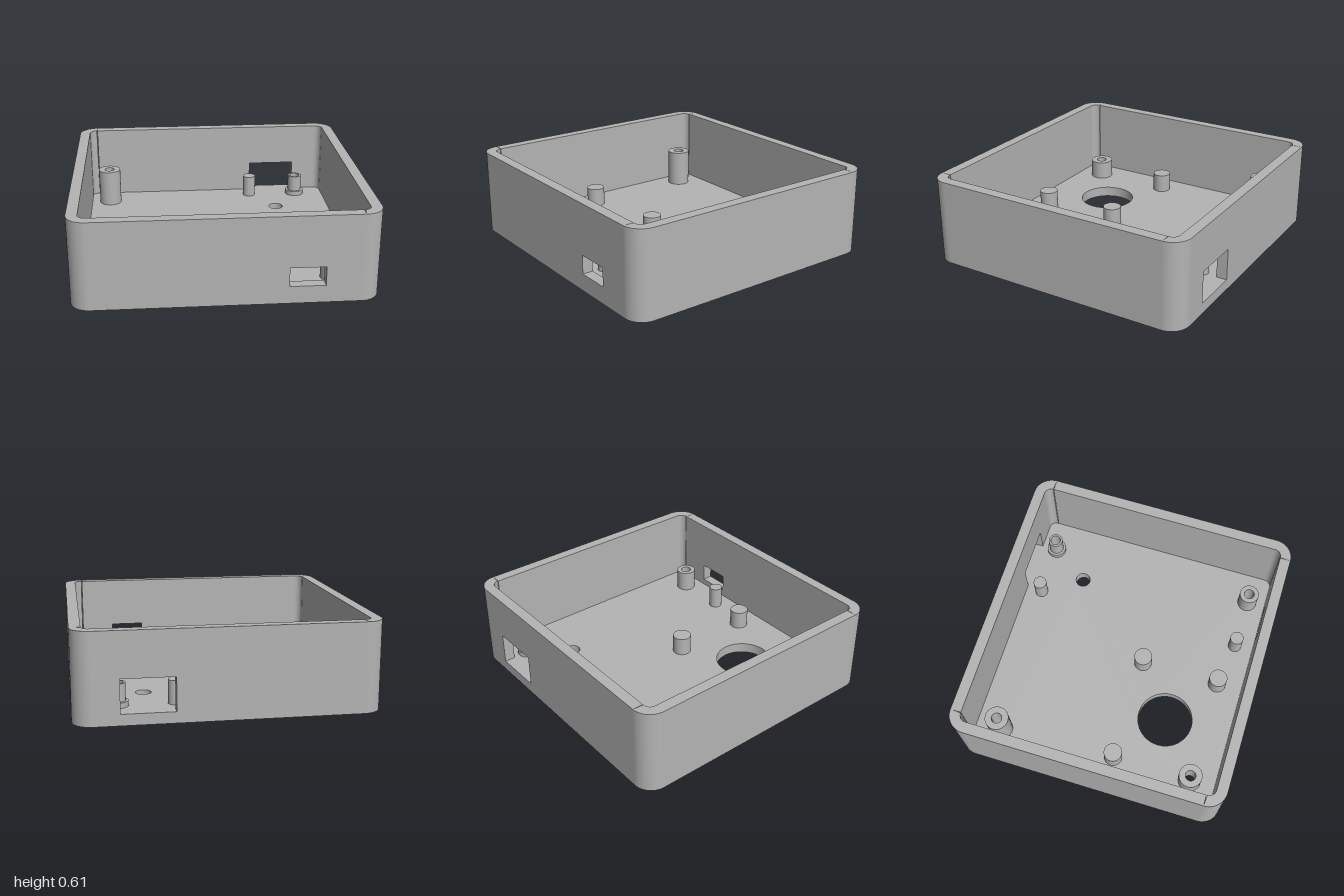
import * as THREE from 'three';
import { toCreasedNormals } from 'three/addons/utils/BufferGeometryUtils.js';

const W = 1, D = 0.965, H = 0.605;      // half width, half depth, height
const T = 0.075, FLOOR = 0.075;         // wall and floor thickness
const R_OUT = 0.13, R_IN = 0.05;        // corner radii
const BORE = 0.04, BORE_R = 0.066, SCREW_R = 0.037;

export function createModel() {
  const model = new THREE.Group();
  model.name = 'enclosureBase';
  const grey = new THREE.MeshStandardMaterial({ color: 0xb4b4b4 });
  grey.name = 'grey plastic';

  const add = (name, geometry, x = 0, y = 0, z = 0) => {
    const mesh = new THREE.Mesh(toCreasedNormals(geometry, 0.6), grey);
    mesh.name = name;
    mesh.position.set(x, y, z);
    model.add(mesh);
    return mesh;
  };
  const extrude = (shape, depth) =>
    new THREE.ExtrudeGeometry(shape, { depth, bevelEnabled: false, curveSegments: 20 });
  const extrudeUp = (shape, height) => extrude(shape, height).rotateX(-Math.PI / 2);

  const rect = (target, x0, y0, x1, y1) => {
    target.moveTo(x0, y0);
    target.lineTo(x1, y0);
    target.lineTo(x1, y1);
    target.lineTo(x0, y1);
    target.closePath();
    return target;
  };

  // Screw posts: outer radius, top height, optional wider foot
  const screwPosts = [
    { x: -0.78, z: -0.705, r: 0.083, top: 0.345 },
    { x: -0.745, z: 0.705, r: 0.083, top: 0.21 },
    { x: 0.705, z: 0.755, r: 0.07, top: 0.23 },
    { x: 0.705, z: -0.775, r: 0.052, top: 0.23, foot: 0.07 },
  ];
  const solidPosts = [
    { x: -0.745, z: 0.135, r: 0.065, top: 0.21 },
    { x: 0.005, z: 0.135, r: 0.065, top: 0.21 },
    { x: 0.005, z: 0.705, r: 0.065, top: 0.21 },
    { x: 0.335, z: -0.775, r: 0.048, top: 0.235 },
    { x: 0.335, z: 0.755, r: 0.048, top: 0.235 },
  ];

  // Floor in two layers, so that the screw holes are counterbored from below
  const floorLayer = (screwRadius) => {
    const s = new THREE.Shape();
    const cx = W - T - R_IN, cz = D - T - R_IN;
    s.absarc(cx, cz, R_IN, 0, Math.PI / 2);
    s.absarc(-cx, cz, R_IN, Math.PI / 2, Math.PI);
    s.absarc(-cx, -cz, R_IN, Math.PI, Math.PI * 1.5);
    s.absarc(cx, -cz, R_IN, Math.PI * 1.5, Math.PI * 2);
    s.closePath();
    const hole = (x, z, r) => s.holes.push(new THREE.Path().absarc(x, -z, r, 0, Math.PI * 2, true));
    hole(-0.37, 0.415, 0.198);
    hole(0.517, -0.5, 0.054);
    screwPosts.forEach((p) => hole(p.x, p.z, screwRadius));
    return s;
  };
  add('floorUnderside', extrudeUp(floorLayer(BORE_R), BORE));
  add('floorTop', extrudeUp(floorLayer(SCREW_R), FLOOR - BORE), 0, BORE, 0);

  // Front and back walls, each with a rectangular opening
  const wall = (name, z, opening) => {
    const s = rect(new THREE.Shape(), -(W - R_OUT), 0, W - R_OUT, H);
    s.holes.push(rect(new THREE.Path(), ...opening));
    add(name, extrude(s, T), 0, 0, z);
  };
  wall('frontWall', D - T, [0.4, 0.12, 0.635, 0.25]);
  wall('backWall', -D, [0.35, FLOOR, 0.7, 0.3]);

  // Plain side walls
  for (const side of [-1, 1]) {
    add(side > 0 ? 'leftWall' : 'rightWall',
      new THREE.BoxGeometry(T, H, 2 * (D - R_OUT)), side * (W - T / 2), H / 2, 0);
  }

  // Rounded corners
  const corner = new THREE.Shape();
  const inset = R_OUT - T - R_IN;
  corner.moveTo(R_OUT - T, 0);
  corner.absarc(0, 0, R_OUT, 0, Math.PI / 2);
  corner.lineTo(0, R_OUT - T);
  corner.absarc(inset, inset, R_IN, Math.PI / 2, 0, true);
  corner.closePath();
  [[1, -1], [-1, -1], [-1, 1], [1, 1]].forEach(([sx, sz], i) => {
    add('wallCorner', extrudeUp(corner, H), sx * (W - R_OUT), 0, sz * (D - R_OUT))
      .rotation.y = i * Math.PI / 2;
  });

  // Posts standing on the floor
  const lathe = (points) =>
    new THREE.LatheGeometry(points.map(([r, y]) => new THREE.Vector2(r, y)), 40);
  for (const p of screwPosts) {
    const foot = p.foot ? [[p.foot, FLOOR], [p.foot, 0.11], [p.r, 0.11]] : [[p.r, FLOOR]];
    add('screwPost',
      lathe([...foot, [p.r, p.top], [SCREW_R, p.top], [SCREW_R, FLOOR]]), p.x, 0, p.z);
  }
  for (const p of solidPosts) {
    add('supportPost', lathe([[p.r, FLOOR], [p.r, p.top], [0, p.top]]), p.x, 0, p.z);
  }

  return model;
}
